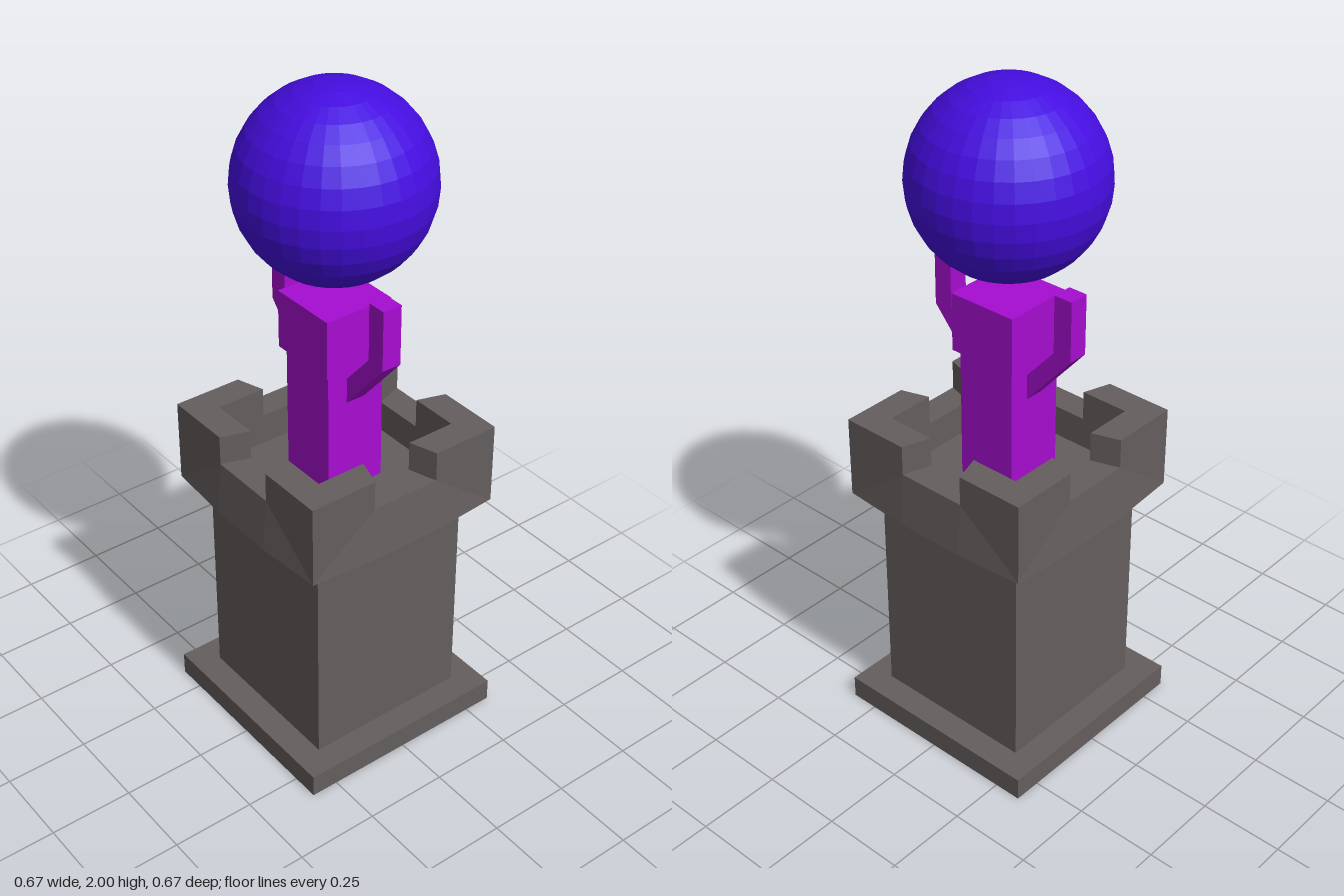
import * as THREE from 'three';

const mat = (color) => new THREE.MeshStandardMaterial({ color, flatShading: true });

export function createModel() {
  const model = new THREE.Group();
  const stone = mat(0x655e5e), cloth = mat(0xa60dd0), orbColor = mat(0x450de0);

  const add = (name, geometry, material, parent = model) => {
    const mesh = new THREE.Mesh(geometry, material);
    mesh.name = name;
    parent.add(mesh);
    return mesh;
  };
  // square block between two heights
  const block = (name, half, y0, y1, material, parent) => {
    const g = new THREE.BoxGeometry(half * 2, y1 - y0, half * 2);
    return add(name, g.translate(0, (y0 + y1) / 2, 0), material, parent);
  };

  // tower: its top also forms the floor behind the battlements
  block('towerBase', 0.333, 0, 0.07, stone);
  block('towerShaft', 0.253, 0.07, 0.82, stone);
  add('battlements', battlementGeometry(), stone);

  // figure
  const figure = new THREE.Group();
  figure.name = 'figure';
  model.add(figure);
  block('body', 0.093, 0.82, 1.21, cloth, figure);
  block('head', 0.108, 1.22, 1.395, cloth, figure);
  // thin bevel under the head
  const chin = new THREE.CylinderGeometry(0.108 * Math.SQRT2, 0.093 * Math.SQRT2, 0.012, 4, 1, true);
  add('headBevel', chin.rotateY(Math.PI / 4).translate(0, 1.214, 0), cloth, figure);

  // raised arms, bent at the elbow
  for (const side of [1, -1]) {
    const outline = [[0.09, 1.105], [0.243, 1.283], [0.243, 1.463], [0.185, 1.463], [0.185, 1.29], [0.09, 1.182]];
    const shape = new THREE.Shape(outline.map(([x, y]) => new THREE.Vector2(x * side, y)));
    const g = new THREE.ExtrudeGeometry(shape, { depth: 0.06, bevelEnabled: false });
    add(side > 0 ? 'leftArm' : 'rightArm', g.translate(0, 0, -0.03), cloth, figure);
  }

  // floating orb
  add('orb', new THREE.SphereGeometry(0.273, 32, 16).translate(0, 1.727, 0), orbColor);
  return model;
}

// Four identical walls, each with a notch in the middle and a slightly flared foot
function battlementGeometry() {
  const bottom = 0.757, floor = 0.82, notch = 0.915, top = 1.005;
  const outer = 0.315, flare = 0.33, inner = 0.23, shaft = 0.25;
  const outGap = 0.107, inGap = 0.08;
  const pos = [];

  for (let i = 0; i < 4; i++) {
    const turn = (p) => new THREE.Vector3(...p).applyAxisAngle(new THREE.Vector3(0, 1, 0), i * Math.PI / 2);
    const face = (...pts) => {
      for (let k = 1; k < pts.length - 1; k++)
        for (const p of [pts[0], pts[k], pts[k + 1]]) pos.push(...turn(p).toArray());
    };
    for (const s of [-1, 1]) {
      const half = (...pts) => face(...(s < 0 ? pts : pts.reverse()));
      const A0 = [s * outer, bottom, outer], A1 = [s * outer, top, outer];
      const B0 = [s * outGap, bottom, flare], B1 = [s * outGap, top, outer], B2 = [s * outGap, notch, outer];
      const a1 = [s * inner, top, inner], a3 = [s * inner, floor, inner];
      const b1 = [s * inGap, top, inner], b2 = [s * inGap, notch, inner], b3 = [s * inGap, floor, inner];
      half(A0, B0, B2);
      half(A0, B2, A1);
      half(A1, B2, B1);
      half(A1, B1, b1, a1);         // merlon top
      half(B2, b2, b1, B1);         // notch cheek
      half(b3, a3, a1, b1);         // inner wall
    }
    const ring = (w, y, d) => [[-w, y, d], [w, y, d]];
    const [B0, C0] = ring(outGap, bottom, flare), [B2, C2] = ring(outGap, notch, outer);
    const [b2, c2] = ring(inGap, notch, inner), [b3, c3] = ring(inGap, floor, inner);
    const [A0, D0] = ring(outer, bottom, outer), [s0, s1] = ring(shaft, bottom, shaft);
    face(B0, C0, C2, B2);           // wall under the notch
    face(B2, C2, c2, b2);           // notch floor
    face(c3, b3, b2, c2);           // inner wall under the notch
    face(s0, s1, D0, C0, B0, A0);   // underside
  }
  const g = new THREE.BufferGeometry();
  g.setAttribute('position', new THREE.Float32BufferAttribute(pos, 3));
  g.computeVertexNormals();
  return g;
}
